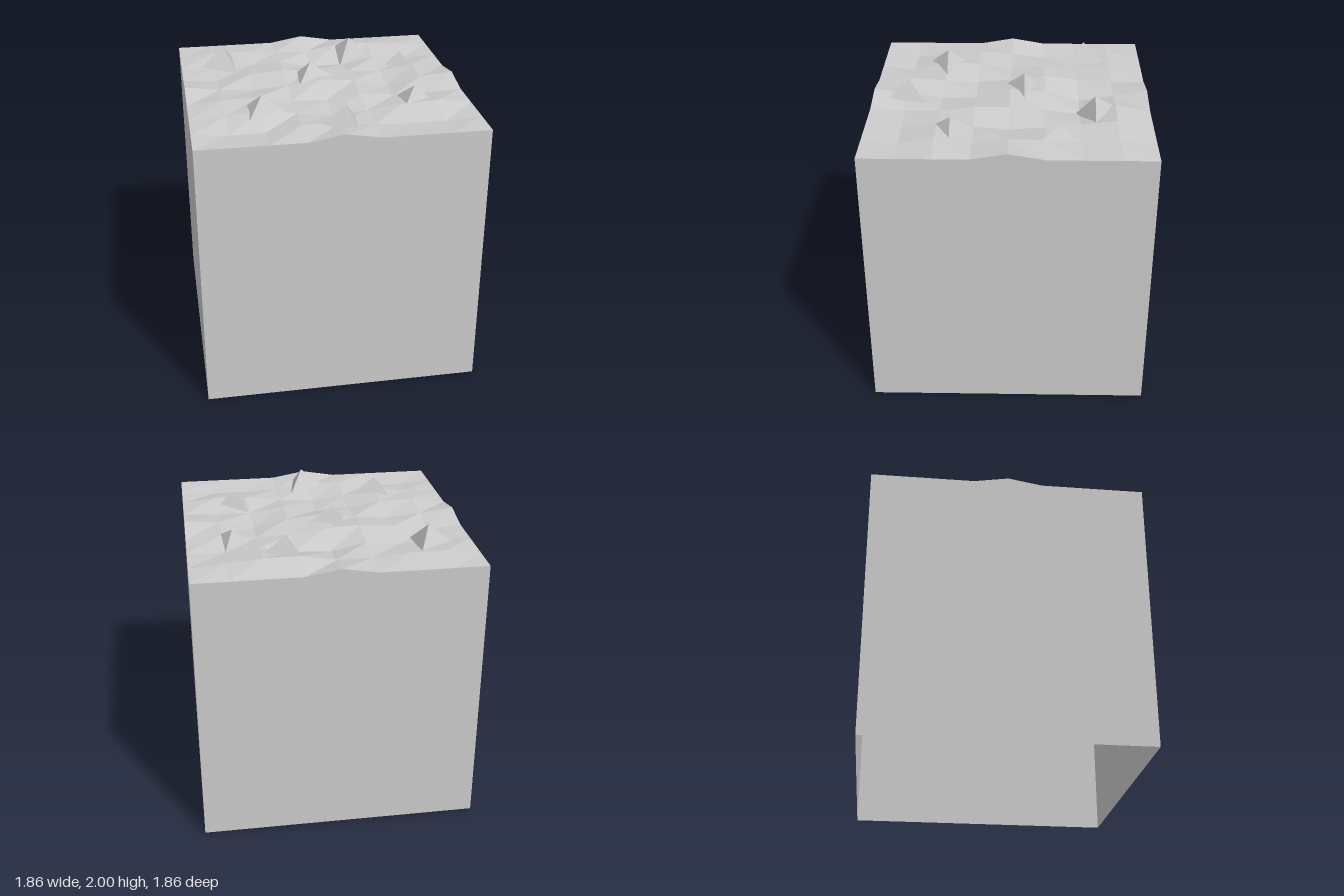
import * as THREE from 'three';

const HALF = 0.93, RIM = 1.865, N = 8, CELL = 2 * HALF / N;

// Ground relief in hundredths, back row to front row; the border is level
// apart from a small rise in the middle of each side.
const RELIEF = [
  [0, 0, 0, 0, 4, 0, 0, 0, 0],
  [0, 2, 2, 0, 0, 4, 4, 2, 0],
  [0, -1, -1, 1, -4, -3, 1, -1, 0],
  [0, -2, 2, 4, 3, 0, -1, 2, 0],
  [4, 1, -1, 1, 4, 2, -3, 2, 4],
  [0, 3, 3, -1, -2, 2, -1, -1, 0],
  [0, 1, 4, 0, -3, -1, 2, 3, 0],
  [0, -2, -2, 2, 1, -1, -2, -2, 0],
  [0, 0, 0, 0, 4, 0, 0, 0, 0],
];

// Ground height at any point, blended between grid corners
function groundHeight(x, z) {
  const u = (x + HALF) / CELL, v = (z + HALF) / CELL;
  const i = THREE.MathUtils.clamp(Math.floor(u), 0, N - 1);
  const j = THREE.MathUtils.clamp(Math.floor(v), 0, N - 1);
  const a = THREE.MathUtils.lerp(RELIEF[j][i], RELIEF[j][i + 1], u - i);
  const b = THREE.MathUtils.lerp(RELIEF[j + 1][i], RELIEF[j + 1][i + 1], u - i);
  return RIM + THREE.MathUtils.lerp(a, b, v - j) / 100;
}

// Spikes: apex [x, y, z] and the three corners [x, z] where they meet the ground
const SPIKES = [
  { apex: [-0.63, 2.0, -0.52], foot: [[-0.56, -0.67], [-0.79, -0.49], [-0.55, -0.38]] },
  { apex: [0.30, 2.0, -0.56], foot: [[0.22, -0.68], [0.22, -0.44], [0.44, -0.56]] },
  { apex: [0.63, 1.96, -0.335], foot: [[0.68, -0.45], [0.53, -0.32], [0.70, -0.21]] },
  { apex: [-0.06, 2.0, -0.095], foot: [[-0.13, -0.195], [-0.15, 0.03], [0.09, -0.095]] },
  { apex: [-0.46, 2.0, 0.455], foot: [[-0.54, 0.345], [-0.56, 0.59], [-0.30, 0.455]] },
  { apex: [0.565, 1.97, 0.375], foot: [[0.48, 0.245], [0.49, 0.475], [0.67, 0.375]] },
  { apex: [0.045, 2.0, 0.695], foot: [[0.14, 0.555], [-0.11, 0.695], [0.09, 0.82]] },
];

// Three-sided spike whose corners run slightly below the ground
function spikeGeometry({ apex, foot }) {
  const top = new THREE.Vector3(...apex);
  const base = foot.map(([x, z]) =>
    new THREE.Vector3(x, groundHeight(x, z), z).sub(top).multiplyScalar(1.05).add(top));
  const points = [];
  for (let k = 0; k < 3; k++) points.push(top, base[k], base[(k + 1) % 3]);
  points.push(base[2], base[1], base[0]);
  const geometry = new THREE.BufferGeometry().setFromPoints(points);
  geometry.computeVertexNormals();
  return geometry;
}

export function createModel() {
  const model = new THREE.Group();
  model.name = 'groundBlock';
  const material = new THREE.MeshStandardMaterial({
    color: 0xcccccc, flatShading: true, side: THREE.DoubleSide,
  });
  const add = (geometry, name, parent = model) => {
    const mesh = new THREE.Mesh(geometry, material);
    mesh.name = name;
    parent.add(mesh);
  };

  // Uneven ground
  const ground = new THREE.PlaneGeometry(2 * HALF, 2 * HALF, N, N).rotateX(-Math.PI / 2);
  const gp = ground.attributes.position;
  for (let k = 0; k < gp.count; k++) gp.setY(k, groundHeight(gp.getX(k), gp.getZ(k)));
  ground.computeVertexNormals();
  add(ground, 'groundSurface');

  // Four side walls, open below, with tops that follow the ground
  ['frontWall', 'leftWall', 'backWall', 'rightWall'].forEach((name, side) => {
    const wall = new THREE.PlaneGeometry(2 * HALF, 2, N, 1)
      .translate(0, 0, HALF).rotateY(side * Math.PI / 2);
    const wp = wall.attributes.position;
    for (let k = 0; k < wp.count; k++) {
      wp.setY(k, wp.getY(k) > 0 ? groundHeight(wp.getX(k), wp.getZ(k)) : 0);
    }
    add(wall, name);
  });

  // Scattered rock spikes
  const spikes = new THREE.Group();
  spikes.name = 'rockSpikes';
  SPIKES.forEach((spike) => add(spikeGeometry(spike), 'rockSpike', spikes));
  model.add(spikes);

  return model;
}
